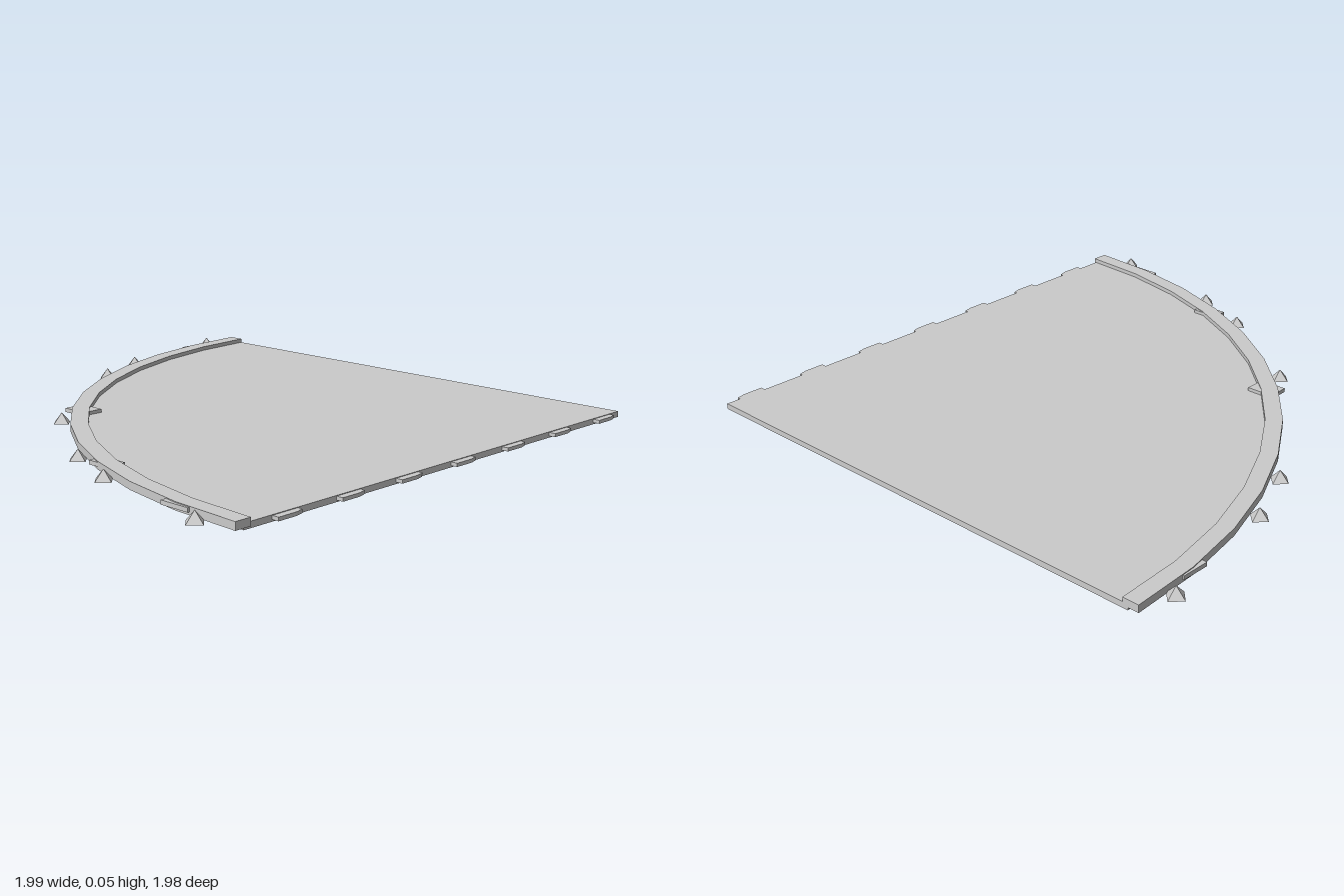
import * as THREE from 'three';

const CX = 0.98, CZ = -0.99;   // corner of the quarter disc
const SEGMENTS = 12;
const material = new THREE.MeshStandardMaterial({ color: 0xcccccc, flatShading: true });

// Points of the quarter arc, from the back end round to the front end
function arc(radius) {
  const points = [];
  for (let i = 0; i <= SEGMENTS; i++) {
    const a = (i / SEGMENTS) * Math.PI / 2;
    points.push(new THREE.Vector2(CX - radius * Math.cos(a), CZ + radius * Math.sin(a)));
  }
  return points;
}

// Extrude a ground outline (x, z) between two heights
function slab(points, bottom, top) {
  const geometry = new THREE.ExtrudeGeometry(new THREE.Shape(points), { depth: top - bottom, bevelEnabled: false });
  geometry.rotateX(Math.PI / 2);
  geometry.translate(0, top, 0);
  return geometry;
}

export function createModel() {
  const group = new THREE.Group();
  const add = (name, geometry, x = 0, y = 0, z = 0) => {
    const mesh = new THREE.Mesh(geometry, material);
    mesh.name = name;
    mesh.position.set(x, y, z);
    group.add(mesh);
  };

  // Flat quarter-disc floor
  const floor = arc(1.88).map(p => new THREE.Vector2(Math.min(p.x, 0.972), p.y));
  floor.push(new THREE.Vector2(0.972, CZ));
  add('floorPlate', slab(floor, 0, 0.02));

  // Raised curved rim
  add('rim', slab([...arc(1.92), ...arc(1.86).reverse()], 0.009, 0.035));

  // Small tapered tabs along the straight side
  for (let i = 0; i < 7; i++) {
    const z = -0.935 + i * 0.268;
    const outline = [[0.96, z], [0.988, z], [0.996, z + 0.03], [0.996, z + 0.105], [0.96, z + 0.105]];
    add('sideTab', slab(outline.map(p => new THREE.Vector2(...p)), 0.006, 0.018));
  }

  // Blocks set into the outer face of the rim
  const blocks = [[-0.915, -0.74, 0.035, 0.1], [-0.345, 0.345, 0.1, 0.08],
    [0.255, 0.755, 0.1, 0.06], [0.735, 0.906, 0.11, 0.036]];
  for (const [x, z, w, d] of blocks) add('rimBlock', new THREE.BoxGeometry(w, 0.014, d), x, 0.025, z);

  // Four-sided studs around the outside
  const studs = [[-0.962, -0.86], [-0.865, -0.36], [-0.766, -0.13], [-0.305, 0.475],
    [0.117, 0.755], [0.353, 0.853], [0.85, 0.955]];
  const stud = new THREE.ConeGeometry(0.036, 0.037, 4);
  for (const [x, z] of studs) add('stud', stud, x, 0.0275, z);

  return group;
}
